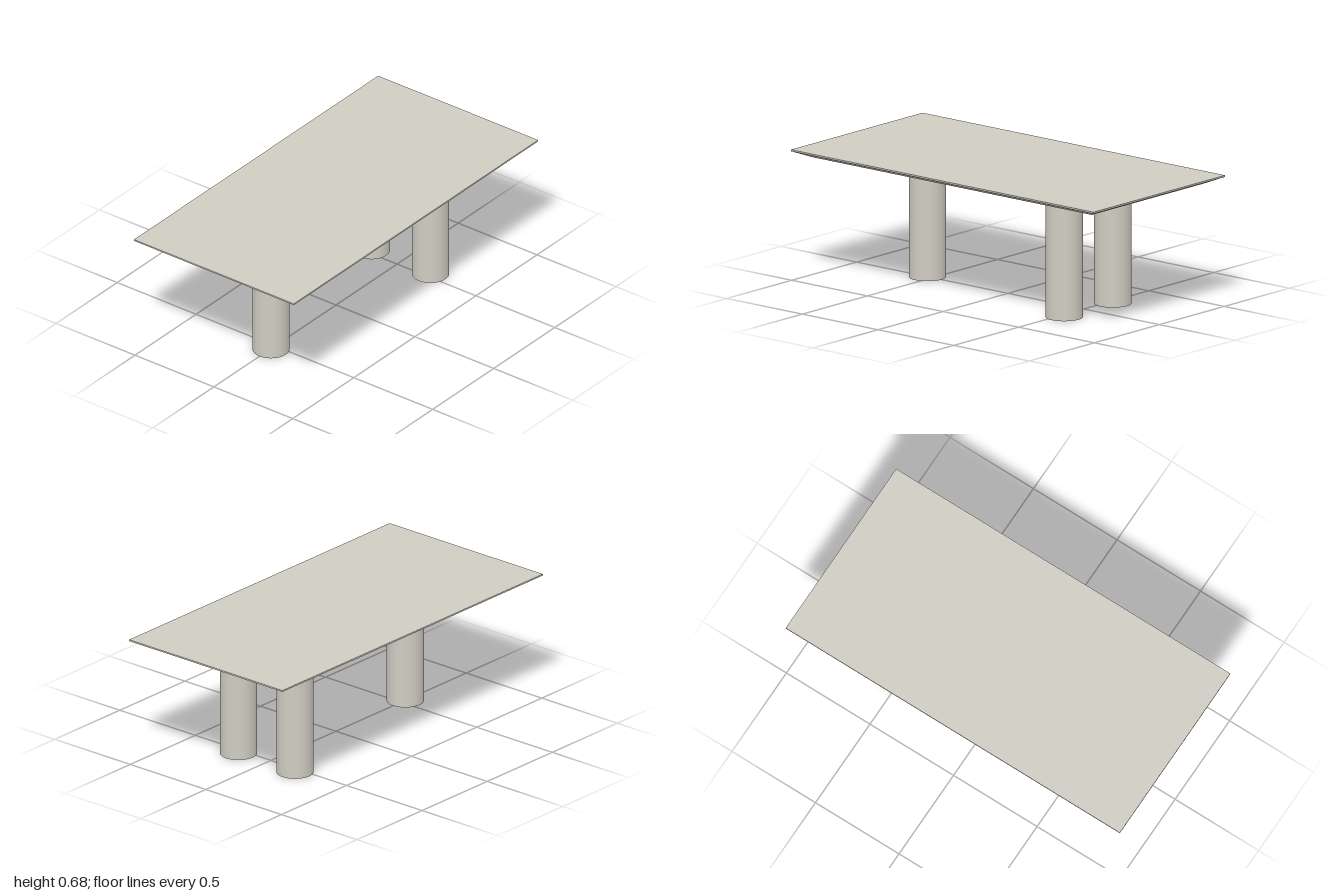
import * as THREE from 'three';

const HALF_X = 1, HALF_Z = 0.507;
const TOP_Y = 0.676, RIM_Y = 0.668, UNDER_Y = 0.635;
const INSET = 0.077, LEG_RADIUS = 0.0936;

// Slab with a thin upright rim and an underside bevelled inwards
function bevelledSlab() {
  const box = new THREE.BoxGeometry(2 * HALF_X, 2, 2 * HALF_Z, 1, 2, 1);
  const pos = box.attributes.position;
  for (let i = 0; i < pos.count; i++) {
    const row = Math.round(pos.getY(i)); // 1 top, 0 rim, -1 underside
    if (row < 0) {
      pos.setX(i, Math.sign(pos.getX(i)) * (HALF_X - INSET));
      pos.setZ(i, Math.sign(pos.getZ(i)) * (HALF_Z - INSET));
    }
    pos.setY(i, row > 0 ? TOP_Y : row === 0 ? RIM_Y : UNDER_Y);
  }
  const slab = box.toNonIndexed();
  slab.computeVertexNormals();
  return slab;
}

export function createModel() {
  const table = new THREE.Group();
  table.name = 'table';

  const stone = new THREE.MeshStandardMaterial({ color: 0xcfccc2 });
  stone.name = 'warm grey stone';

  const top = new THREE.Mesh(bevelledSlab(), stone);
  top.name = 'tableTop';
  table.add(top);

  // Two legs at the left end, one centred at the right end
  const legGeometry = new THREE.CylinderGeometry(LEG_RADIUS, LEG_RADIUS, UNDER_Y, 64);
  const legs = [
    ['leftFrontLeg', 0.532, 0.187],
    ['leftBackLeg', 0.532, -0.187],
    ['rightLeg', -0.532, 0],
  ];
  for (const [name, x, z] of legs) {
    const leg = new THREE.Mesh(legGeometry, stone);
    leg.name = name;
    leg.position.set(x, UNDER_Y / 2, z);
    table.add(leg);
  }
  return table;
}
